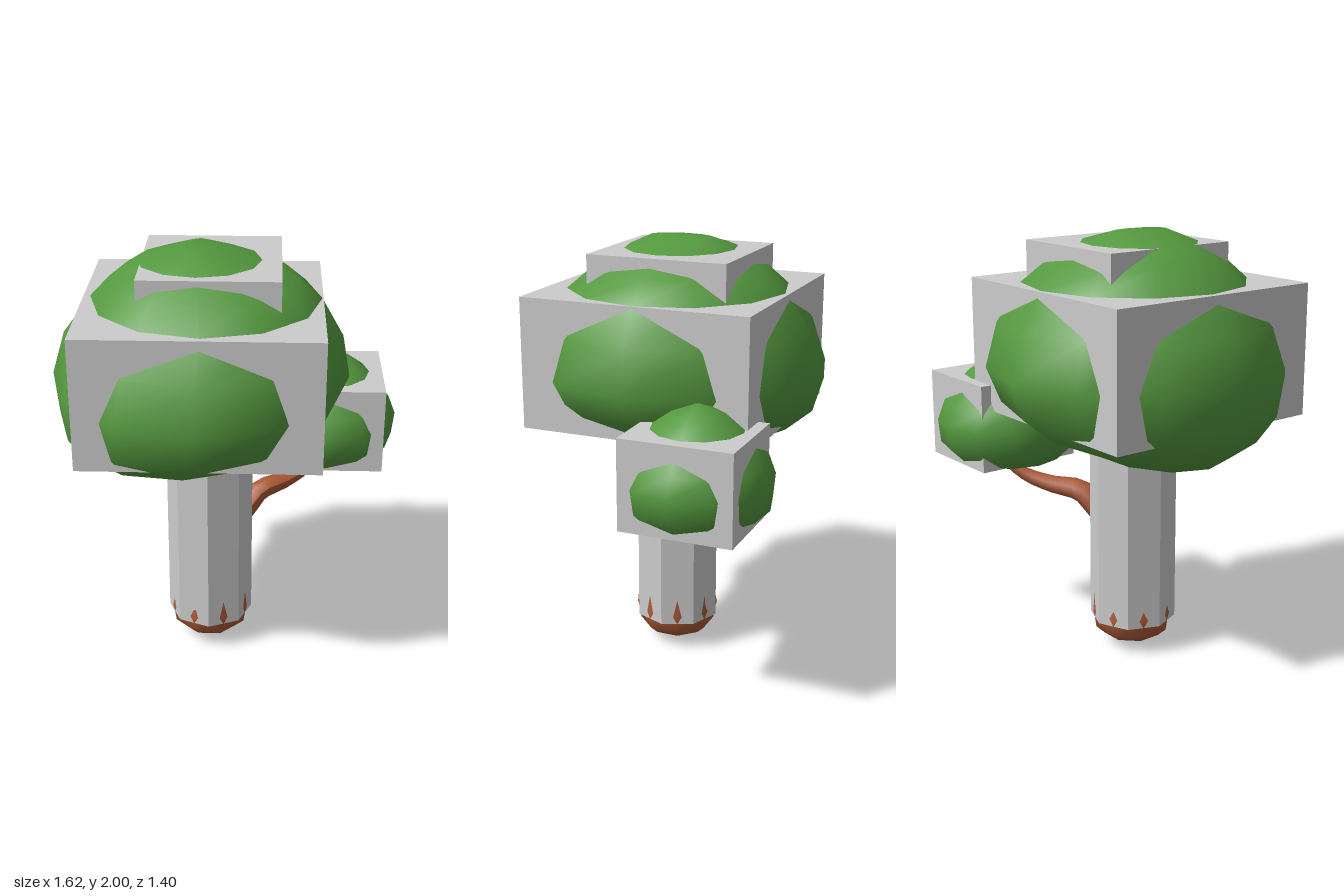
import * as THREE from 'three';
import { mergeVertices } from 'three/addons/utils/BufferGeometryUtils.js';

const leaf = new THREE.MeshStandardMaterial({ name: 'leaf green', color: 0x55993f });
const bark = new THREE.MeshStandardMaterial({ name: 'bark brown', color: 0xab5a37 });
const block = new THREE.MeshStandardMaterial({ name: 'block grey', color: 0xcccccc });
const blockFlat = block.clone();
blockFlat.flatShading = true;

// Smooth skin over elliptical rings, listed bottom to top: [y, centreX, radiusX, radiusZ, tilt]
function loft(rings, sides, phase = 0, centreZ = 0, adjust = null) {
  const pos = [], index = [];
  rings.forEach(([y, cx, rx, rz, tilt = 0], i) => {
    for (let j = 0; j < sides; j++) {
      const a = phase + (j / sides) * Math.PI * 2;
      const v = new THREE.Vector3(Math.sin(a) * rx, y + Math.sin(a) * rx * tilt, Math.cos(a) * rz);
      if (adjust) adjust(v);
      pos.push(v.x + cx, v.y, v.z + centreZ);
      if (i === rings.length - 1) continue;
      const k = (j + 1) % sides, lo = i * sides, hi = lo + sides;
      index.push(lo + j, lo + k, hi + k, lo + j, hi + k, hi + j);
    }
  });
  let g = new THREE.BufferGeometry();
  g.setAttribute('position', new THREE.Float32BufferAttribute(pos, 3));
  g.setIndex(index);
  g = mergeVertices(g, 1e-5);
  g.computeVertexNormals();
  return g;
}

// Round tube whose radius follows a list of values along its length
function taperedTube(points, radii, steps, sides) {
  const curve = new THREE.CatmullRomCurve3(points.map(p => new THREE.Vector3(...p)));
  const g = new THREE.TubeGeometry(curve, steps, 1, sides);
  const p = g.attributes.position, v = new THREE.Vector3();
  for (let i = 0; i < p.count; i++) {
    const t = Math.floor(i / (sides + 1)) / steps;
    const f = t * (radii.length - 1), k = Math.min(Math.floor(f), radii.length - 2);
    const r = THREE.MathUtils.lerp(radii[k], radii[k + 1], f - k);
    const c = curve.getPointAt(t);
    v.fromBufferAttribute(p, i).sub(c).multiplyScalar(r).add(c);
    p.setXYZ(i, v.x, v.y, v.z);
  }
  g.computeVertexNormals();
  return g;
}

export function createModel() {
  const model = new THREE.Group();
  model.name = 'tree';
  const add = (name, geometry, material) => {
    const m = new THREE.Mesh(geometry, material);
    m.name = name;
    model.add(m);
    return m;
  };
  const box = (name, x0, x1, y0, y1, z0, z1) =>
    add(name, new THREE.BoxGeometry(x1 - x0, y1 - y0, z1 - z0), block)
      .position.set((x0 + x1) / 2, (y0 + y1) / 2, (z0 + z1) / 2);

  // Large crown, with a sloping underside
  add('mainCrown', loft([
    [1.0, -0.35, 0, 0],
    [1.045, -0.235, 0.385, 0.34, 0.1],
    [1.115, -0.18, 0.54, 0.51, 0.06],
    [1.23, -0.15, 0.64, 0.645, 0.04],
    [1.4, -0.127, 0.683, 0.7],
    [1.6, -0.115, 0.635, 0.635],
    [1.775, -0.1, 0.52, 0.515],
    [1.87, -0.11, 0.42, 0.4],
    [1.95, -0.13, 0.28, 0.26],
    [2.0, -0.13, 0.08, 0.15],
    [2.0, -0.13, 0, 0],
  ], 12), leaf);

  // Small crown on the branch
  add('sideCrown', loft([
    [0.86, 0.465, 0, 0],
    [0.862, 0.465, 0.16, 0.16],
    [0.88, 0.465, 0.25, 0.25],
    [0.96, 0.465, 0.332, 0.332],
    [1.07, 0.465, 0.345, 0.342],
    [1.16, 0.465, 0.31, 0.31],
    [1.27, 0.465, 0.235, 0.235],
    [1.355, 0.465, 0.12, 0.12],
    [1.4, 0.465, 0, 0],
  ], 12, 0, -0.325), leaf);

  // Inner trunk: its corners just break through the outer column near the base
  add('trunk', loft([
    [0, -0.09, 0, 0],
    [0.05, -0.09, 0.14, 0.14],
    [0.088, -0.09, 0.182, 0.182],
    [0.14, -0.09, 0.19, 0.19],
    [0.175, -0.09, 0.198, 0.198],
    [0.6, -0.09, 0.157, 0.157],
    [1.1, -0.09, 0.12, 0.12],
  ], 8, Math.PI / 8, 0, v => {
    if (v.y > 0.5 && v.x < 0) { v.x *= 0.72; v.z *= 0.72; }
  }), bark);

  // Branch
  add('branch', taperedTube(
    [[0, 0.59, -0.04], [0.08, 0.655, -0.08], [0.15, 0.73, -0.125], [0.28, 0.75, -0.21],
      [0.39, 0.79, -0.29], [0.46, 0.87, -0.36], [0.48, 0.95, -0.38]],
    [0.06, 0.058, 0.052, 0.042, 0.034, 0.024, 0.02], 14, 8), bark);

  // Eight-sided outer column
  add('trunkColumn', new THREE.CylinderGeometry(0.205, 0.205, 1.06, 8), blockFlat)
    .position.set(-0.09, 0.67, 0);

  // Plain blocks around the crowns
  box('mainBlock', -0.65, 0.425, 1.17, 1.775, -0.535, 0.545);
  box('topBlock', -0.385, 0.237, 1.7, 1.95, -0.358, 0.305);
  box('sideBlock', 0.29, 0.737, 0.875, 1.29, -0.587, -0.068);

  return model;
}
